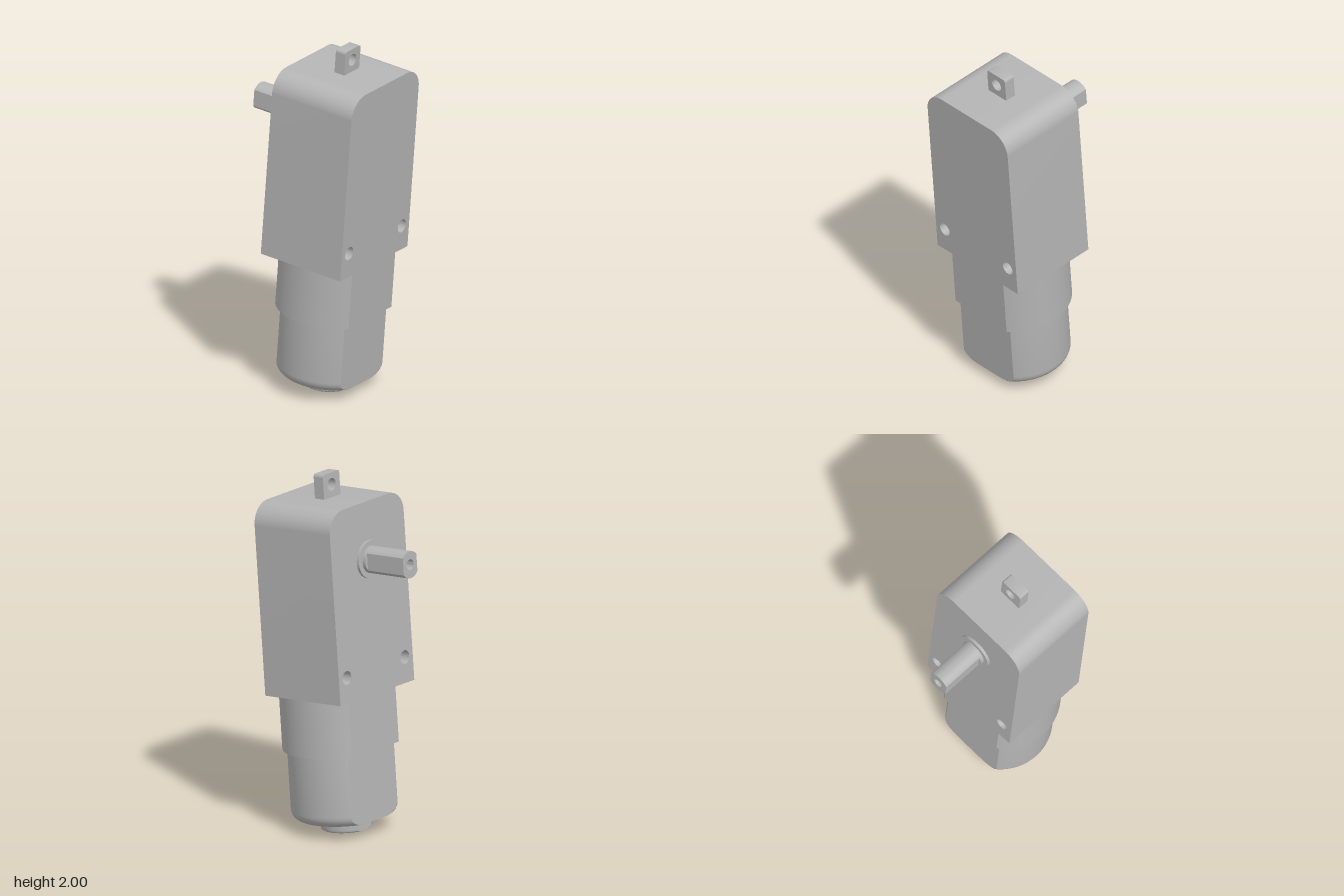
import * as THREE from 'three';
import { toCreasedNormals } from 'three/addons/utils/BufferGeometryUtils.js';

const CREASE = 0.5;

// Circle with two opposite sides cut flat at x = +-half
function flattenedCircle(r, half) {
  const a = Math.acos(half / r);
  const s = new THREE.Shape();
  s.absarc(0, 0, r, a, Math.PI - a, false);
  s.absarc(0, 0, r, Math.PI + a, 2 * Math.PI - a, false);
  s.closePath();
  return s;
}

function addHole(shape, x, y, r) {
  const hole = new THREE.Path();
  hole.absarc(x, y, r, 0, Math.PI * 2, true);
  shape.holes.push(hole);
}

function extrude(shape, depth) {
  return new THREE.ExtrudeGeometry(shape, { depth, bevelEnabled: false, curveSegments: 32 });
}

// Profile in (z, y), extruded from x0 to x1
function extrudeX(shape, x0, x1) {
  return toCreasedNormals(extrude(shape, x1 - x0).rotateY(Math.PI / 2).translate(x0, 0, 0), CREASE);
}

// Upright panel with rounded top corners
function roundedTop(half, y0, y1, r) {
  const s = new THREE.Shape();
  s.moveTo(-half, y0);
  s.lineTo(half, y0);
  s.lineTo(half, y1 - r);
  s.absarc(half - r, y1 - r, r, 0, Math.PI / 2, false);
  s.lineTo(-half + r, y1);
  s.absarc(-half + r, y1 - r, r, Math.PI / 2, Math.PI, false);
  s.closePath();
  return s;
}

// Turned body with its two x sides cut flat
function flattenedLathe(points, half, x) {
  const g = new THREE.LatheGeometry(points.map(p => new THREE.Vector2(...p)), 152);
  const p = g.attributes.position;
  for (let i = 0; i < p.count; i++) p.setX(i, THREE.MathUtils.clamp(p.getX(i), -half, half));
  return toCreasedNormals(g.translate(x, 0, 0), CREASE);
}

// Quarter-round from the underside to the side wall
function fillet(r, y, f, n = 8) {
  return Array.from({ length: n + 1 }, (_, i) => {
    const t = (i / n) * Math.PI / 2;
    return [r - f + f * Math.sin(t), y + f - f * Math.cos(t)];
  });
}

export function createModel() {
  const model = new THREE.Group();
  model.name = 'gearMotor';
  const grey = new THREE.MeshStandardMaterial({ color: 0xb4b4b4 });
  grey.name = 'grey';
  const add = (name, geometry) => {
    const mesh = new THREE.Mesh(geometry, grey);
    mesh.name = name;
    model.add(mesh);
    return mesh;
  };

  // Gearbox with two through holes for screws
  const box = roundedTop(0.316, 0.796, 1.867, 0.12);
  for (const side of [-1, 1]) addHole(box, side * 0.248, 0.939, 0.038);
  add('gearboxHousing', extrudeX(box, -0.253, 0.274));

  // Mounting tab on top
  const tab = roundedTop(0.07, 1.86, 2.004, 0.015);
  addHole(tab, 0, 1.937, 0.035);
  add('mountingTab', extrudeX(tab, -0.022, 0.043));

  // Collar that holds the motor
  const collar = extrude(flattenedCircle(0.316, 0.2435), 0.323);
  collar.rotateX(-Math.PI / 2).translate(0.0305, 0.473, 0);
  add('motorCollar', toCreasedNormals(collar, CREASE));

  // Motor can and the bearing boss under it
  add('motorCan', flattenedLathe([[0, 0.077], ...fillet(0.29, 0.077, 0.06), [0.29, 0.48]], 0.213, 0.0315));
  add('bearingBoss', flattenedLathe(
    [[0, 0.04], [0.03, 0.04], [0.03, 0.013], ...fillet(0.14, 0.013, 0.015, 4), [0.14, 0.085]], 0.127, 0.024));

  // Output shaft: flange, round root and double-flat end with a bore
  const shaftY = 1.547;
  const disc = (name, r, x0, x1) => {
    const g = new THREE.CylinderGeometry(r, r, x1 - x0, 64);
    add(name, g.rotateZ(Math.PI / 2).translate((x0 + x1) / 2, shaftY, 0));
  };
  disc('shaftFlange', 0.105, -0.269, -0.25);
  disc('shaftRoot', 0.075, -0.29, -0.25);
  const shaft = flattenedCircle(0.075, 0.058);
  addHole(shaft, 0, 0, 0.03);
  add('outputShaft', extrudeX(shaft, -0.541, -0.288).translate(0, shaftY, 0));

  // The whole motor leans slightly to its left
  model.rotation.z = -THREE.MathUtils.degToRad(4.5);
  return model;
}
